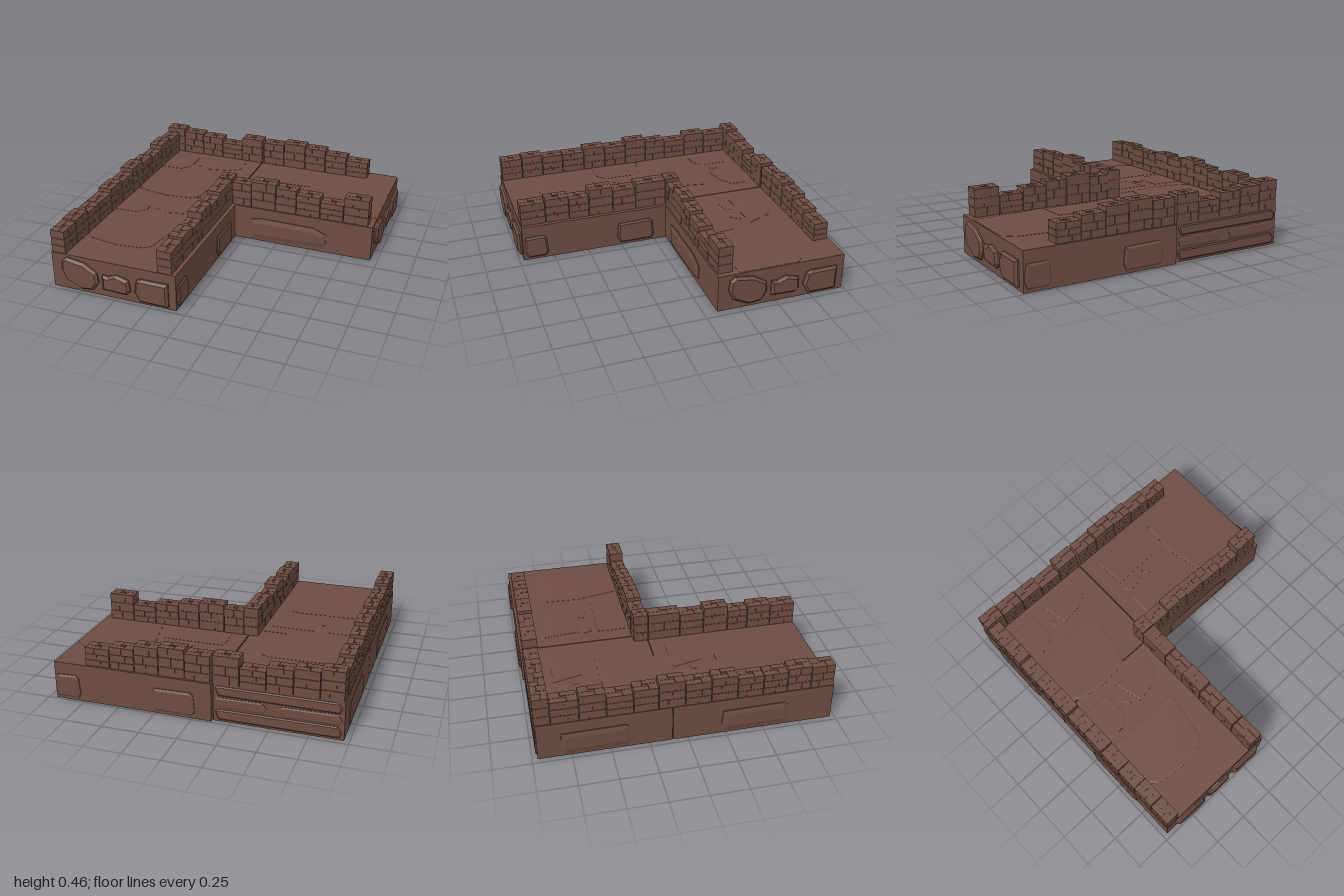
import * as THREE from 'three';
import { mergeGeometries } from 'three/addons/utils/BufferGeometryUtils.js';

const stone = new THREE.MeshStandardMaterial({ color: 0x6d4c41 });
stone.name = 'brown stone';

const FLOOR = 0.26;   // top of the floor blocks
const THICK = 0.1;    // wall thickness

function addMesh(parent, geometry, name) {
  const mesh = new THREE.Mesh(geometry, stone);
  mesh.name = name;
  parent.add(mesh);
  return mesh;
}

// Box given by its minimum and maximum corners
function box(x0, x1, y0, y1, z0, z1) {
  return new THREE.BoxGeometry(x1 - x0, y1 - y0, z1 - z0)
    .translate((x0 + x1) / 2, (y0 + y1) / 2, (z0 + z1) / 2);
}

// Raised polygon with a bevelled rim; its face lies `height` above local z = 0
function raised(points, height, bevel) {
  const shape = new THREE.Shape(points.map(p => new THREE.Vector2(p[0], p[1])));
  return new THREE.ExtrudeGeometry(shape, {
    depth: height, bevelEnabled: true, bevelSegments: 1,
    bevelThickness: height * 0.6, bevelSize: bevel, bevelOffset: -bevel,
  }).translate(0, 0, -height * 0.6);
}

// Wall block: core, staggered brick faces and a pinwheel of top tiles
function wallBlock(u0, u1, top, index) {
  const t = THICK / 2, skin = 0.005, gap = 0.0025;
  const a = u0 + gap, b = u1 - gap, len = b - a;
  const parts = [box(a + skin, b - skin, FLOOR - 0.01, top - skin, -t + skin, t - skin)];
  const rows = 3, rowH = (top - FLOOR) / rows;
  for (let r = 0; r < rows; r++) {
    const y0 = FLOOR + r * rowH, y1 = y0 + rowH - (r < rows - 1 ? gap : 0);
    const cut = a + len * [0.62, 0.35, 0.5][(r + index) % 3];
    for (const [p, q] of [[a, cut - gap / 2], [cut + gap / 2, b]]) {
      parts.push(box(p, q, y0, y1, t - skin, t), box(p, q, y0, y1, -t, -t + skin));
    }
    parts.push(box(a, a + skin, y0, y1, -t + skin, t - skin));
    parts.push(box(b - skin, b, y0, y1, -t + skin, t - skin));
  }
  const c1 = a + len * 0.4, c2 = a + len * 0.62, g = gap / 2;
  const tiles = [
    [a, c1 - g, -t, 0.008 - g], [c1 + g, b, -t, -0.01 - g],
    [a, c2 - g, 0.008 + g, t], [c2 + g, b, -0.01 + g, t],
  ];
  for (const [p, q, z0, z1] of tiles) parts.push(box(p, q, top - skin, top, z0, z1));
  return mergeGeometries(parts);
}

// Row of blocks of stepped height; edges has one more entry than heights
function addWall(parent, name, edges, heights, x, z, turn) {
  const wall = new THREE.Group();
  wall.name = name;
  heights.forEach((h, i) => addMesh(wall, wallBlock(edges[i], edges[i + 1], h, i), 'wallBlock'));
  wall.position.set(x, 0, z);
  wall.rotation.y = turn;
  parent.add(wall);
}

// Outlines of the facing stones
const roundStone = [[-0.89, 0.15], [-0.86, 0.08], [-0.75, 0.025], [-0.66, 0.035], [-0.62, 0.1],
  [-0.63, 0.17], [-0.72, 0.225], [-0.85, 0.245], [-0.88, 0.22]];
const notchedStone = [[-0.59, 0.055], [-0.42, 0.05], [-0.39, 0.08], [-0.4, 0.16], [-0.49, 0.185],
  [-0.55, 0.16], [-0.59, 0.165]];
const squareStone = [[-0.36, 0.09], [-0.32, 0.02], [-0.12, 0.02], [-0.12, 0.19], [-0.31, 0.19], [-0.34, 0.18]];
const trio = [roundStone, notchedStone, squareStone];
const longStone = [[0.06, 0.03], [0.15, 0.02], [0.55, 0.03], [0.62, 0.05], [0.62, 0.14], [0.53, 0.18],
  [0.14, 0.185], [0.06, 0.17]];
const slab = (u0, u1, y0, y1) => [[u0 + 0.02, y0], [u1 - 0.015, y0], [u1, y0 + 0.03], [u1 - 0.01, y1 - 0.02],
  [u1 - 0.03, y1], [u0 + 0.01, y1 - 0.005], [u0, y0 + 0.05]];

export function createModel() {
  const model = new THREE.Group();
  model.name = 'cornerRampart';

  // Floor blocks, forming an L
  addMesh(model, box(-0.965, -0.135, 0, FLOOR, -0.965, -0.102), 'cornerFloor');
  addMesh(model, box(-0.965, -0.07, 0, FLOOR, -0.098, 0.97), 'frontFloor');
  addMesh(model, box(-0.128, 0.95, 0, FLOOR, -0.985, -0.09), 'sideFloor');

  // Stones standing out of the outer faces
  const facing = (outline, height, bevel, x, z, turn, name) => {
    const m = addMesh(model, raised(outline, height, bevel), name);
    m.position.set(x, 0, z);
    m.rotation.y = turn;
  };
  const R = Math.PI / 2;
  for (const s of trio) {
    facing(s, 0.028, 0.016, 0, 0.97, 0, 'frontStone');
    facing(s.map(([u, y]) => [u + 1.05, y]), 0.025, 0.016, 0.95, 0, R, 'rightEndStone');
  }
  facing(longStone, 0.016, 0.035, 0, -0.09, 0, 'innerLongStone');
  facing(slab(-0.96, -0.79, 0.02, 0.18), 0.015, 0.012, -0.07, 0, R, 'innerStone');
  facing(slab(-0.28, -0.005, 0.02, 0.18), 0.015, 0.012, -0.07, 0, R, 'innerStone');
  facing(slab(-0.27, 0.02, 0.02, 0.18), 0.013, 0.015, 0, -0.985, 2 * R, 'backStone');
  facing(slab(-0.945, -0.77, 0.02, 0.18), 0.013, 0.012, 0, -0.985, 2 * R, 'backStone');
  facing(slab(0.15, 0.95, 0.015, 0.09), 0.01, 0.008, 0, -0.965, 2 * R, 'backCourse');
  facing(slab(0.15, 0.48, 0.1, 0.17), 0.008, 0.008, 0, -0.965, 2 * R, 'backCourse');
  facing(slab(0.56, 0.95, 0.1, 0.17), 0.008, 0.008, 0, -0.965, 2 * R, 'backCourse');
  facing(slab(0.15, 0.95, 0.18, 0.25), 0.01, 0.008, 0, -0.965, 2 * R, 'backCourse');
  facing(slab(-0.82, -0.37, 0.02, 0.18), 0.014, 0.035, -0.965, 0, -R, 'outerLongStone');
  facing(slab(0.22, 0.67, 0.02, 0.18), 0.014, 0.035, -0.965, 0, -R, 'outerLongStone');

  // Low paving stones; outlines are [x, z]
  const paving = (outline, dz) => {
    const m = addMesh(model, raised(outline.map(([x, z]) => [x, -z - dz]).reverse(), 0.004, 0.014), 'pavingStone');
    m.position.y = FLOOR;
    m.rotation.x = -R;
  };
  for (const dz of [0, 0.8]) {
    paving([[-0.86, -0.8], [-0.64, -0.8], [-0.64, -0.6], [-0.7, -0.54], [-0.86, -0.53]], dz);
    paving([[-0.55, -0.8], [-0.25, -0.8], [-0.25, -0.69], [-0.34, -0.63], [-0.5, -0.6]], dz);
    paving([[-0.86, -0.49], [-0.36, -0.5], [-0.31, -0.48], [-0.37, -0.12], [-0.42, -0.08], [-0.6, -0.06],
      [-0.8, -0.09], [-0.86, -0.14]], dz);
    paving([[-0.6, -0.68], [-0.55, -0.69], [-0.55, -0.63], [-0.59, -0.64]], dz);
  }
  paving([[-0.02, -0.8], [0.28, -0.75], [0.36, -0.57], [0.0, -0.56]], 0);
  paving([[-0.02, -0.52], [0.13, -0.53], [0.14, -0.48], [0.0, -0.46]], 0);
  paving([[0.18, -0.53], [0.29, -0.53], [0.25, -0.47], [0.18, -0.48]], 0);
  paving([[-0.02, -0.42], [0.41, -0.42], [0.42, -0.22], [-0.02, -0.22]], 0);
  paving([[0.45, -0.76], [0.86, -0.72], [0.94, -0.66], [0.94, -0.24], [0.5, -0.22], [0.44, -0.5]], 0);

  // Stepped walls along x
  addWall(model, 'cornerBackWall', [-0.96, -0.81, -0.645, -0.475, -0.305, -0.132],
    [0.455, 0.435, 0.42, 0.385, 0.45], 0, -0.92, 0);
  addWall(model, 'sideBackWall', [-0.12, 0.05, 0.225, 0.39, 0.56, 0.73],
    [0.435, 0.455, 0.44, 0.41, 0.385], 0, -0.92, 0);
  addWall(model, 'sideFrontWall', [-0.095, 0.05, 0.235, 0.39, 0.565, 0.735, 0.915],
    [0.435, 0.46, 0.44, 0.415, 0.385, 0.45], 0, -0.15, 0);

  // Stepped walls along z
  addWall(model, 'outerWall', [-0.868, -0.69, -0.52, -0.35, -0.19, -0.02, 0.15, 0.32, 0.49, 0.65, 0.81, 0.968],
    [0.42, 0.44, 0.405, 0.425, 0.45, 0.42, 0.435, 0.41, 0.41, 0.43, 0.42], -0.91, 0, -R);
  addWall(model, 'innerWall', [-0.2, -0.095, 0.13, 0.3, 0.475, 0.62, 0.79, 0.968],
    [0.46, 0.455, 0.43, 0.46, 0.415, 0.435, 0.42], -0.147, 0, -R);

  return model;
}
